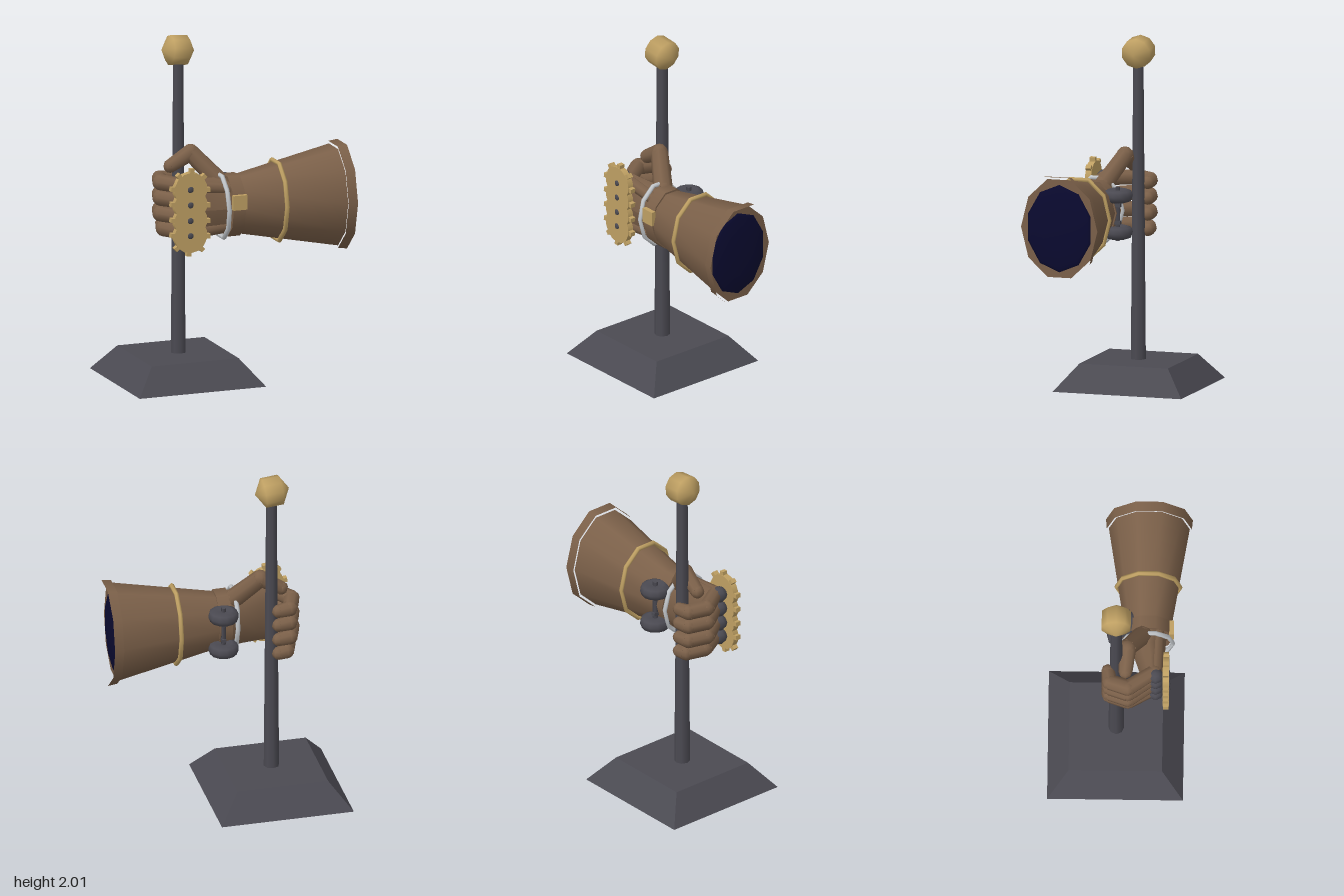
import * as THREE from 'three';

const mat = (name, color, side = THREE.FrontSide) => {
  const m = new THREE.MeshStandardMaterial({ color, side });
  m.name = name;
  return m;
};

export function createModel() {
  const leather = mat('brown leather', 0x7b6049);
  const gold = mat('brass', 0xbfa063);
  const iron = mat('dark iron', 0x4b4a52);
  iron.flatShading = false;
  const silver = mat('silver', 0xc4c8cc);
  const navy = mat('dark lining', 0x0a0a30);

  const model = new THREE.Group();
  const V = (x, y, z) => new THREE.Vector3(x, y, z);
  const CY = 1.03, CZ = 0.157, FLAT = 0.775; // axis of the gauntlet and its oval ratio

  function add(name, geo, material, x = 0, y = 0, z = 0, parent = model) {
    const m = new THREE.Mesh(geo, material);
    m.name = name;
    m.position.set(x, y, z);
    parent.add(m);
    return m;
  }
  // oval sleeve running along x
  function sleeve(name, x0, x1, r0, r1, material, open = false) {
    const g = new THREE.CylinderGeometry(r1, r0, x1 - x0, 10, 1, open);
    g.rotateZ(-Math.PI / 2).scale(1, 1, FLAT);
    return add(name, g, material, (x0 + x1) / 2, CY, CZ);
  }
  function ring(name, x, r, tube, material) {
    const g = new THREE.TorusGeometry(r, tube, 6, 10);
    g.rotateY(Math.PI / 2).scale(1, 1, FLAT);
    return add(name, g, material, x, CY, CZ);
  }
  // jointed limb: tapered segments with balls at the joints
  function limb(name, pts, radii, material) {
    const group = new THREE.Group();
    group.name = name;
    pts.forEach((p, i) => {
      add(name + 'Joint', new THREE.SphereGeometry(radii[i], 8, 6), material, p.x, p.y, p.z, group);
      if (!i) return;
      const d = p.clone().sub(pts[i - 1]);
      const mid = p.clone().add(pts[i - 1]).multiplyScalar(0.5);
      const seg = add(name + 'Segment', new THREE.CylinderGeometry(radii[i], radii[i - 1], d.length(), 8),
        material, mid.x, mid.y, mid.z, group);
      seg.quaternion.setFromUnitVectors(V(0, 1, 0), d.normalize());
    });
    model.add(group);
  }

  // stand: sloped square base, tapered pole, faceted finial
  const base = new THREE.CylinderGeometry(0.265 * Math.SQRT2, 0.385 * Math.SQRT2, 0.15, 4)
    .rotateY(Math.PI / 4).toNonIndexed();
  base.computeVertexNormals();
  add('base', base, iron, -0.275, 0.075, -0.02);
  add('pole', new THREE.CylinderGeometry(0.031, 0.045, 1.72, 8), iron, -0.275, 1.0, -0.018);
  const finial = add('finial', new THREE.SphereGeometry(0.1, 10, 3).rotateZ(-Math.PI / 2), gold, -0.278, 1.914, -0.018);
  finial.rotation.z = -0.1;

  // flared cuff with open rim and dark mouth
  sleeve('cuff', 0.01, 0.602, 0.172, 0.296, leather);
  sleeve('rim', 0.6, 0.655, 0.311, 0.318, leather, true);
  add('mouth', new THREE.SphereGeometry(1, 10, 6).rotateZ(-Math.PI / 2).scale(0.03, 0.268, 0.21), navy, 0.595, CY, CZ);
  ring('cuffBand', 0.25, 0.235, 0.014, gold);

  // wrist strap, buckle and silver ring
  sleeve('wristStrap', -0.06, 0.015, 0.184, 0.184, leather);
  add('buckle', new THREE.BoxGeometry(0.085, 0.085, 0.026), gold, -0.022, 1.072, 0.292);
  ring('wristRing', -0.088, 0.188, 0.014, silver).rotation.z = 0.03;

  // pair of rounded wheels on an axle behind the wrist
  for (const s of [-1, 1]) {
    const profile = [[0, -0.024], [0.05, -0.038], [0.078, -0.028], [0.088, 0], [0.078, 0.028], [0.05, 0.038], [0, 0.024]]
      .map(([x, y]) => new THREE.Vector2(x, y));
    add('wheel', new THREE.LatheGeometry(profile, 12), iron, -0.003, 1.025 + s * 0.105, 0.013);
  }
  add('axle', new THREE.CylinderGeometry(0.015, 0.015, 0.31, 4).rotateY(Math.PI / 4), iron, -0.003, 1.025, 0.013);
  for (const s of [-1, 1])
    add('axleBracket', new THREE.BoxGeometry(0.025, 0.02, 0.1), iron, -0.003, 1.025 + s * 0.05, 0.045);

  // palm narrowing in depth from wrist to knuckles
  const palm = new THREE.CylinderGeometry(1, 1, 0.29, 12, 3).rotateZ(-Math.PI / 2);
  const p = palm.attributes.position;
  for (let i = 0; i < p.count; i++) {
    const t = 0.5 - p.getX(i) / 0.29; // 0 at wrist, 1 at knuckles
    p.setY(i, p.getY(i) * (0.165 + 0.015 * t));
    p.setZ(i, p.getZ(i) * (0.115 - 0.065 * t) + 0.04 * t);
  }
  palm.computeVertexNormals();
  add('palm', palm, leather, -0.19, CY, 0.15);

  // four fingers, hand ribs, knuckle studs and toothed knuckle plates
  const rows = [1.17, 1.08, 0.988, 0.9];
  rows.forEach((y, i) => {
    const reach = i === 3 ? 0.02 : 0;
    limb('finger', [V(-0.31, y, 0.2), V(-0.41 + reach, y, 0.05), V(-0.375 + reach, y - 0.005, -0.055), V(-0.305, y - 0.01, -0.065)],
      [0.042, 0.047, 0.045, 0.038], leather);
    limb('handRib', [V(-0.06, CY + (y - CY) * 0.8, 0.215), V(-0.32, y, 0.205)], [0.036, 0.038], leather);
    add('knuckleStud', new THREE.SphereGeometry(0.047, 8, 6), iron, -0.335, y, 0.205);

    const gear = new THREE.Group();
    gear.name = 'knuckleGear';
    gear.position.set(-0.315, y, 0.264);
    add('gearDisc', new THREE.CylinderGeometry(0.1, 0.1, 0.036, 14).rotateX(Math.PI / 2), gold, 0, 0, 0, gear);
    for (let k = 0; k < 8; k++) {
      const a = (k + 0.5) * Math.PI / 4 + 0.3;
      const inside = rows.some((o, j) => j !== i &&
        Math.hypot(Math.cos(a) * 0.105, y + Math.sin(a) * 0.105 - o) < 0.1);
      if (inside) continue;
      add('gearTooth', new THREE.BoxGeometry(0.034, 0.026, 0.032), gold, Math.cos(a) * 0.103, Math.sin(a) * 0.103, 0, gear)
        .rotation.z = a;
    }
    add('gearBolt', new THREE.SphereGeometry(0.018, 8, 6).scale(1, 1, 0.4), iron, -0.002, 0, 0.018, gear);
    model.add(gear);
  });

  // thumb bent over the pole
  limb('thumb', [V(-0.09, 1.17, 0.13), V(-0.225, 1.325, 0.045), V(-0.345, 1.255, 0.035)], [0.056, 0.05, 0.04], leather);

  return model;
}
